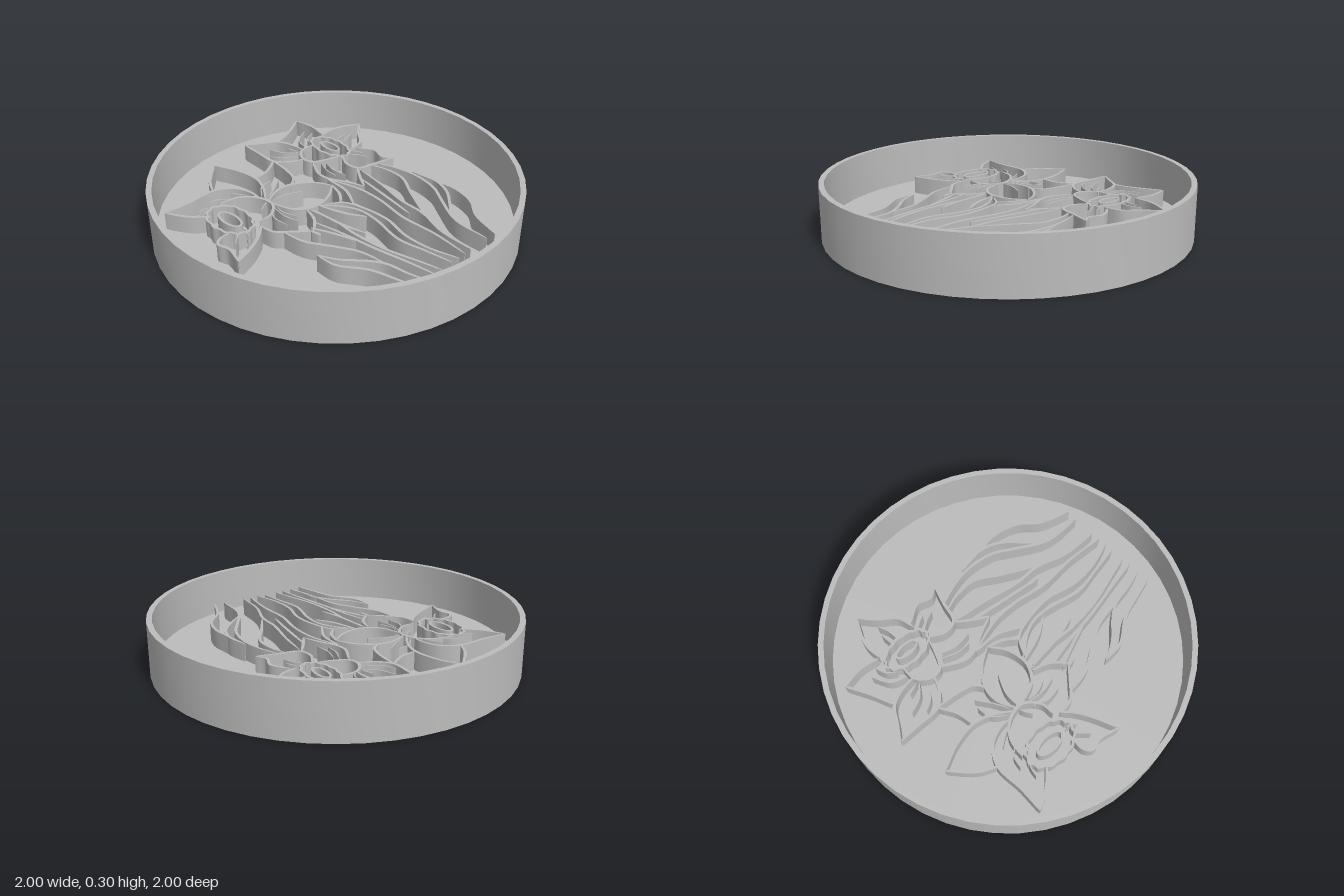
import * as THREE from 'three';
import { toCreasedNormals } from 'three/addons/utils/BufferGeometryUtils.js';

const FLOOR = 0.05, RIDGE_TOP = 0.15;

// Strokes are flat x,z lists in hundredths of a unit.
const leftPetals = [
  [-58, -36, -66, -45, -72, -57], [-72, -57, -58, -55, -40, -54, -31, -47, -28, -37, -29, -31],
  [-41, -54, -35, -63, -22, -74], [-22, -74, -17, -60, -16, -46, -20, -36, -28, -26],
  [-16, -46, -6, -47, 4, -52], [4, -52, 2, -40, -2, -30, -9, -26],
  [-28, -24, -18, -28, -8, -27, 2, -19, 7, -9], [7, -9, -3, -3, -15, -2, -24, -8, -28, -21],
  [-47, -11, -46, -2, -40, 5, -32, 13], [-32, 13, -24, 6, -20, -3],
  [-62, -18, -68, -18, -72, -15, -71, -8, -75, 3], [-75, 3, -62, -1, -52, -6, -46, -11],
  [-47, -42, -36, -39, -29, -31, -28, -21, -36, -14, -44, -14],
];
const rightPetals = [
  [18, -40, 9, -45, 4, -52, 5, -65, 6, -78], [6, -78, 14, -72, 22, -66, 25, -57, 25, -47],
  [23, -66, 36, -70, 49, -76], [49, -76, 50, -64, 47, -53],
  [47, -52, 55, -52, 62, -50, 72, -44], [72, -44, 63, -37, 55, -29, 45, -27],
  [48, -26, 53, -16, 50, -8, 53, -2], [53, -2, 42, -6, 31, -10, 30, -18, 35, -26],
  [18, -34, 11, -22, 11, -15, 15, -5, 18, 5], [18, 5, 24, -3, 30, -10],
  [34, -48, 24, -48, 18, -42, 18, -35, 26, -30, 34, -27],
];
// Fine veins on the petals and trumpets.
const creases = [
  [-59, -45, -53, -43, -45, -36], [-50, -47, -44, -45, -40, -40], [-36, -45, -33, -40, -31, -35],
  [-27, -30, -20, -37, -12, -38], [-25, -27, -16, -31, -8, -36], [-26, -23, -18, -22, -8, -17],
  [-37, -1, -37, -10, -33, -17], [-31, 1, -32, -8, -30, -18], [-28, -3, -30, -11, -29, -17],
  [-66, -9, -62, -12, -59, -15], [-57, -10, -55, -12, -54, -15], [-36, -21, -32, -23, -29, -24],
  [7, -57, 10, -51, 17, -46], [12, -63, 15, -54, 21, -48], [20, -56, 21, -52, 22, -49],
  [28, -50, 32, -58, 42, -63], [34, -52, 38, -56, 44, -58],
  [48, -42, 52, -42, 55, -42], [48, -38, 54, -38, 60, -40],
  [20, -10, 20, -20, 23, -28], [16, -14, 17, -22, 21, -30], [44, -14, 42, -20, 39, -25], [46, -19, 45, -22, 43, -26],
];
const leftLeaves = [
  [-46, 28, -46, 40, -38, 55, -35, 70, -33, 82],
  [-46, 28, -42, 38, -33, 50, -29, 58, -28, 70, -26, 81],
  [-43, 1, -42, 15, -35, 30, -30, 42, -29, 58],
  [-33, 12, -32, 18], [-31, 10, -27, 22, -24, 35],
  [-26, 8, -24, 25, -23, 45, -21, 65, -20, 81],
  [-19, -2, -18, 15, -20, 30, -20, 50, -17, 68, -15, 81],
  [-18, 0, -18, 20, -16, 34],
  [-13, -1, -9, 15, -4, 25],
  [-13, -1, -6, 8, -2, 18, -3, 30, -9, 50, -8, 65, -7, 81],
  [-10, 1, -2, 7, 1, 18, 1, 35, -4, 50, -5, 65, -2, 82],
];
const rightLeaves = [
  [7, -9, 3, 0, -3, 6], [10, -15, 8, 0, 0, 13],
  [10, -15, 14, 4, 13, 20, 8, 40, 7, 60, 3, 82],
  [23, -2, 18, 20, 13, 40],
  [30, -8, 26, 10, 20, 30, 18, 45, 11, 62, 8, 82],
  [38, -6, 40, 1, 39, 15, 30, 28, 19, 44],
  [42, -5, 45, 5, 46, 20, 42, 35, 35, 45, 24, 62, 21, 83],
  [48, 16, 49, 30, 44, 42, 28, 56],
  [48, 16, 49, 32, 49, 45, 44, 58, 35, 67, 27, 84],
];

export function createModel() {
  const model = new THREE.Group();
  const grey = new THREE.MeshStandardMaterial({ color: 0xbcbcbc });
  grey.name = 'plain grey';

  const add = (parent, name, geometry) => {
    const mesh = new THREE.Mesh(geometry, grey);
    mesh.name = name;
    parent.add(mesh);
  };

  // Raise a plan outline from the tray floor to the ridge top.
  const raise = (shape) => {
    const depth = RIDGE_TOP - FLOOR + 0.005;
    const g = new THREE.ExtrudeGeometry(shape, { depth, bevelEnabled: false });
    return toCreasedNormals(g.rotateX(Math.PI / 2).translate(0, RIDGE_TOP, 0), 0.6);
  };

  // Narrow upright ridge following a stroke, thinning towards both ends.
  const ridge = (stroke, width) => {
    const points = [];
    for (let i = 0; i < stroke.length; i += 2) {
      points.push(new THREE.Vector3(stroke[i] / 100, stroke[i + 1] / 100, 0));
    }
    const curve = new THREE.CatmullRomCurve3(points);
    const n = points.length * 5, left = [], right = [];
    for (let i = 0; i <= n; i++) {
      const p = curve.getPointAt(i / n), t = curve.getTangentAt(i / n);
      const half = (width / 2) * (0.2 + 0.8 * Math.max(0, Math.sin((Math.PI * i) / n)) ** 0.4);
      left.push(new THREE.Vector2(p.x - t.y * half, p.y + t.x * half));
      right.unshift(new THREE.Vector2(p.x + t.y * half, p.y - t.x * half));
    }
    return raise(new THREE.Shape([...left, ...right]));
  };

  // Oval ridge, optionally frilled, for the trumpet mouths.
  const oval = (cx, cz, rx, rz, frill, width) => {
    const loop = (inset) => {
      const pts = [];
      for (let i = 0; i < 72; i++) {
        const a = (i / 72) * Math.PI * 2, k = 1 + frill * Math.cos(a * 12);
        const x = (rx - inset) * k * Math.cos(a), z = (rz - inset) * k * Math.sin(a);
        pts.push(new THREE.Vector2(cx + x - z * 0.08, cz + z + x * 0.08));
      }
      return pts;
    };
    const shape = new THREE.Shape(loop(0));
    shape.holes.push(new THREE.Path(loop(width)));
    return raise(shape);
  };

  const strokes = (groupName, partName, list, width) => {
    const group = new THREE.Group();
    group.name = groupName;
    list.forEach((s) => add(group, partName, ridge(s, width)));
    model.add(group);
    return group;
  };

  // Round tray with a thin upright rim.
  const profile = [[0, 0], [1, 0], [1, 0.3], [0.97, 0.3], [0.97, FLOOR], [0, FLOOR]]
    .map(([r, y]) => new THREE.Vector2(r, y));
  add(model, 'tray', toCreasedNormals(new THREE.LatheGeometry(profile, 48), 0.6));

  // Two flowers with frilled trumpets.
  const leftFlower = strokes('leftwardFlower', 'petalOutline', leftPetals, 0.017);
  add(leftFlower, 'trumpetRim', oval(-0.53, -0.27, 0.108, 0.155, 0.04, 0.015));
  add(leftFlower, 'trumpetThroat', oval(-0.53, -0.27, 0.045, 0.09, 0, 0.014));
  const rightFlower = strokes('rightwardFlower', 'petalOutline', rightPetals, 0.017);
  add(rightFlower, 'trumpetRim', oval(0.39, -0.39, 0.085, 0.148, 0.04, 0.015));
  add(rightFlower, 'trumpetThroat', oval(0.39, -0.39, 0.036, 0.075, 0, 0.013));
  strokes('petalVeins', 'vein', creases, 0.007);

  // Stems and leaves below the flowers.
  strokes('leftwardLeaves', 'leafEdge', leftLeaves, 0.017);
  strokes('rightwardLeaves', 'leafEdge', rightLeaves, 0.017);

  return model;
}
